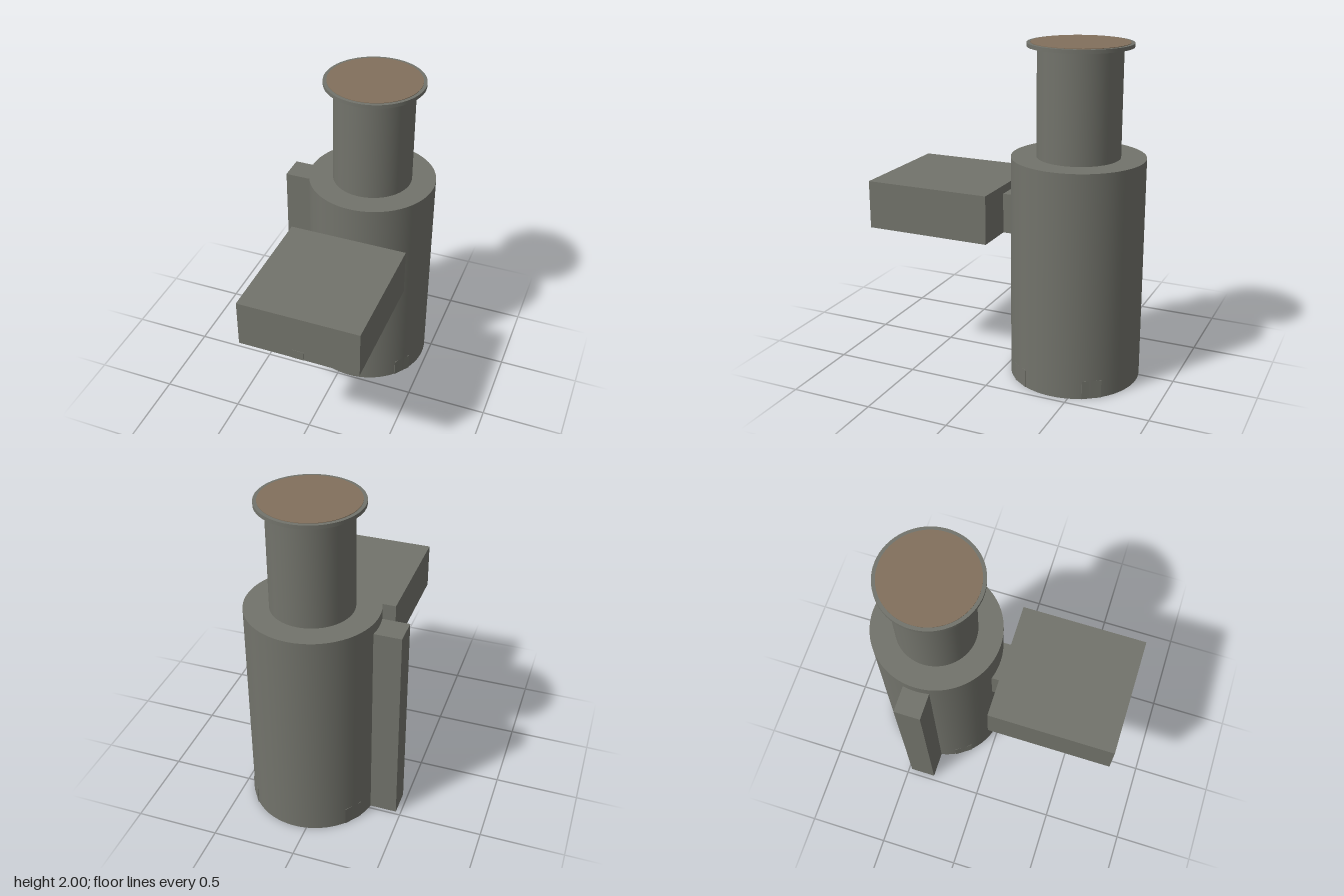
import * as THREE from 'three';

export function createModel() {
  const model = new THREE.Group();
  model.name = 'towerBuilding';
  const grey = new THREE.MeshStandardMaterial({ color: 0x72736b });
  grey.name = 'concreteGrey';
  const brown = new THREE.MeshStandardMaterial({ color: 0x82705c });
  brown.name = 'roofBrown';

  const add = (name, geometry, material, parent = model) => {
    const mesh = new THREE.Mesh(geometry, material);
    mesh.name = name;
    parent.add(mesh);
    return mesh;
  };
  // Box given by its lower and upper corners
  const box = (name, x0, x1, y0, y1, z0, z1) =>
    add(name, new THREE.BoxGeometry(x1 - x0, y1 - y0, z1 - z0), grey)
      .position.set((x0 + x1) / 2, (y0 + y1) / 2, (z0 + z1) / 2);

  // Round tower in stacked drums
  const tower = new THREE.Group();
  tower.name = 'tower';
  tower.position.set(0.074, 0, -0.4);
  model.add(tower);
  const drum = (name, r, y0, y1, material = grey) => {
    add(name, new THREE.CylinderGeometry(r, r, y1 - y0, 64), material, tower)
      .position.y = (y0 + y1) / 2;
  };
  drum('lowerDrum', 0.39, 0, 1.345);
  drum('upperDrum', 0.243, 1.345, 1.975);
  drum('roofFlange', 0.301, 1.975, 1.997);
  drum('roofDisc', 0.28, 1.997, 2, brown);

  // Four small doors set into the foot of the tower
  for (const sx of [-1, 1]) {
    for (const sz of [-1, 1]) {
      const a = Math.atan2(sx * 0.32, sz * 0.225);
      const door = add('towerDoor', new THREE.BoxGeometry(0.115, 0.11, 0.009), grey, tower);
      door.position.set(Math.sin(a) * 0.385, 0.055, Math.cos(a) * 0.385);
      door.rotation.y = a;
    }
  }

  // Side shaft, raised front block and the passage joining it to the tower
  box('sideShaft', -0.47, -0.3, 0, 1.28, -0.48, -0.32);
  box('frontBlock', -0.29, 0.435, 0.86, 1.15, 0.023, 0.793);
  box('passage', -0.045, 0.195, 0.86, 1.1, -0.06, 0.023);
  box('blockDoor', 0.037, 0.107, 0.86, 0.917, 0.79, 0.795);

  return model;
}
